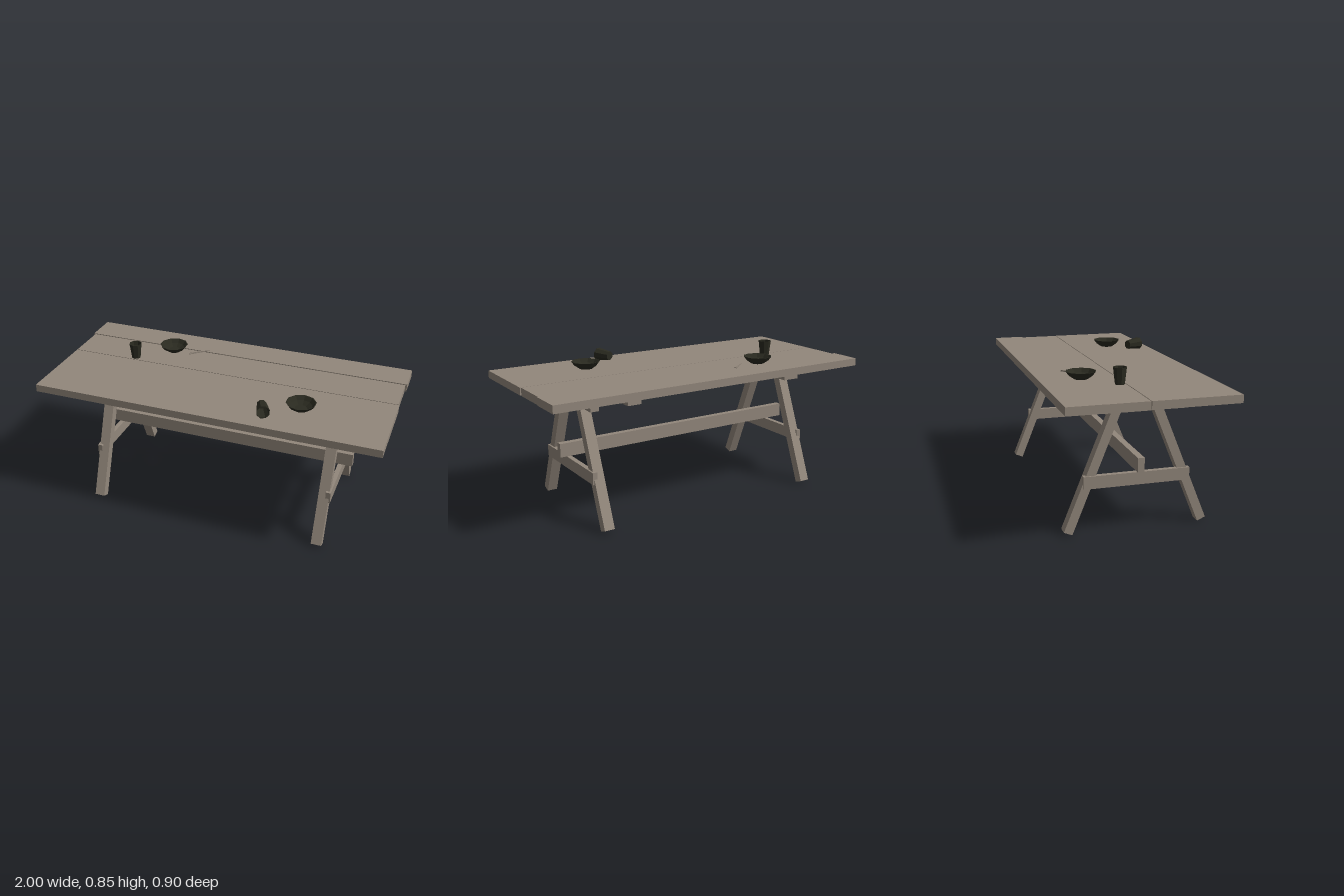
import * as THREE from 'three';

export function createModel() {
  const model = new THREE.Group();
  model.name = 'diningTable';
  const wood = new THREE.MeshStandardMaterial({ color: 0x92877b, flatShading: true });
  wood.name = 'weathered wood';
  const clay = new THREE.MeshStandardMaterial({ color: 0x2a2a20, flatShading: true, side: THREE.DoubleSide });
  clay.name = 'dark glaze';

  const add = (name, geometry, material, x, y, z) => {
    const mesh = new THREE.Mesh(geometry, material);
    mesh.name = name;
    mesh.position.set(x, y, z);
    model.add(mesh);
    return mesh;
  };
  // Wooden beam given by its limits on each axis
  const beam = (name, x0, x1, y0, y1, z0, z1) =>
    add(name, new THREE.BoxGeometry(x1 - x0, y1 - y0, z1 - z0), wood,
      (x0 + x1) / 2, (y0 + y1) / 2, (z0 + z1) / 2);

  // Table top: three slightly uneven planks
  beam('frontPlank', -0.99, 0.995, 0.719, 0.762, -0.025, 0.451);
  beam('middlePlank', -0.99, 0.99, 0.717, 0.762, -0.264, -0.029);
  beam('backPlank', -1, 1, 0.721, 0.765, -0.451, -0.267);

  // Long stretcher between the trestles
  beam('stretcher', -0.78, 0.78, 0.333, 0.411, -0.018, 0.018);

  // Trestles, mirrored left and right
  for (const s of [-1, 1]) {
    const side = s > 0 ? 'left' : 'right';
    const mid = (name, x, w, y0, y1, z) => beam(side + name, s * x - w / 2, s * x + w / 2, y0, y1, -z, z);
    mid('Batten', 0.522, 0.08, 0.684, 0.719, 0.4);
    mid('TopBeam', 0.683, 0.05, 0.639, 0.697, 0.26);
    mid('CrossBar', 0.707, 0.028, 0.247, 0.315, 0.291);
    // Splayed legs
    for (const f of [-1, 1]) {
      const leg = add(side + (f > 0 ? 'FrontLeg' : 'BackLeg'),
        new THREE.BoxGeometry(0.06, 0.746, 0.049), wood, s * 0.682, 0.355, f * 0.2325);
      leg.rotation.x = -f * 0.384;
    }
  }

  // Hollow crockery turned from a profile of [radius, height]
  const turned = (points, sides) =>
    new THREE.LatheGeometry(points.map(([r, y]) => new THREE.Vector2(r, y)), sides);
  const bowl = turned([[0, 0], [0.037, 0], [0.066, 0.02], [0.084, 0.043],
    [0.079, 0.043], [0.062, 0.023], [0.035, 0.007], [0, 0.007]], 10);
  const cup = turned([[0, 0], [0.027, 0], [0.038, 0.091], [0.034, 0.091], [0.024, 0.007], [0, 0.007]], 8);
  add('backBowl', bowl, clay, -0.42, 0.762, -0.221);
  add('frontBowl', bowl, clay, 0.502, 0.762, 0.2);
  add('standingCup', cup, clay, -0.602, 0.762, -0.061);
  const fallen = add('fallenCup', cup, clay, 0.304, 0.799, 0.28);
  fallen.quaternion.setFromUnitVectors(new THREE.Vector3(0, 1, 0),
    new THREE.Vector3(0.39, 0.02, 0.92).normalize());

  // Pair of eating sticks beside the back bowl
  [[-0.264, -0.241, 0.73], [-0.261, -0.243, 0.62]].forEach(([x, z, turn], i) => {
    const stick = add('eatingStick' + (i + 1), new THREE.BoxGeometry(0.122, 0.006, 0.005), wood, x, 0.767 + i * 0.003, z);
    stick.rotation.y = turn;
  });
  return model;
}
